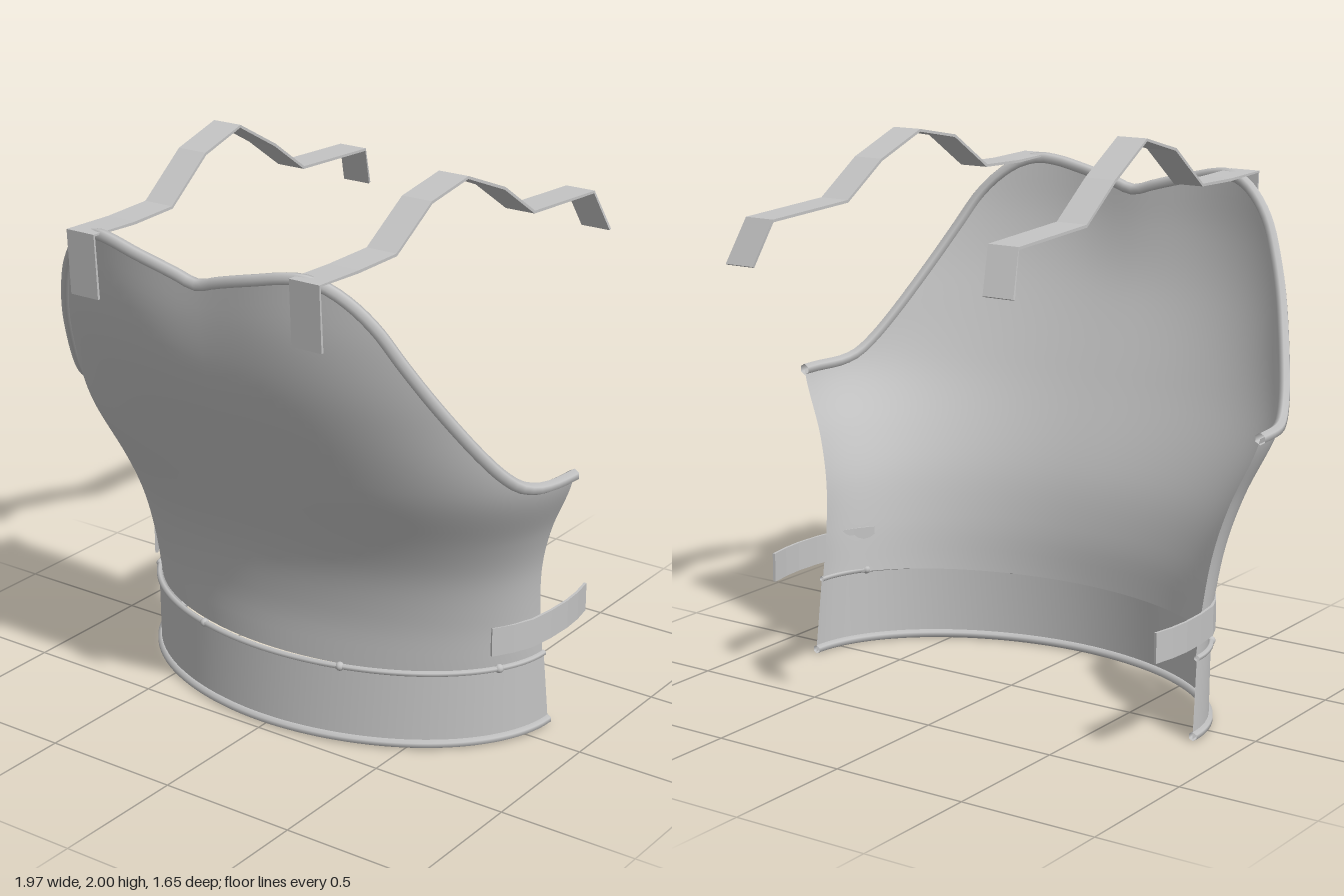
import * as THREE from 'three';

const steel = new THREE.MeshStandardMaterial({ color: 0xc4c4c4, side: THREE.DoubleSide });
steel.name = 'steel grey';

// Smooth lookup in a table of [position, value] pairs
function sample(table, p) {
  const last = table.length - 1;
  let i = 0;
  while (i < last - 1 && p > table[i + 1][0]) i++;
  const slope = k => {
    const a = table[Math.max(k - 1, 0)], b = table[Math.min(k + 1, last)];
    return (b[1] - a[1]) / (b[0] - a[0]);
  };
  const [p0, v0] = table[i], [p1, v1] = table[i + 1];
  const h = p1 - p0, t = THREE.MathUtils.clamp((p - p0) / h, 0, 1), t2 = t * t, t3 = t2 * t;
  return v0 * (2 * t3 - 3 * t2 + 1) + v1 * (3 * t2 - 2 * t3)
    + h * (slope(i) * (t3 - 2 * t2 + t) + slope(i + 1) * (t3 - t2));
}

// Body profile by height: half width, front depth, back edge depth, squareness
const halfWidth = [[0.28, 0.8], [0.46, 0.805], [0.64, 0.825], [0.8, 0.87], [1.04, 0.967], [1.3, 0.97], [1.8, 0.97]];
const frontZ = [[0.28, 0.415], [0.47, 0.42], [0.69, 0.465], [1.03, 0.61], [1.35, 0.74], [1.57, 0.795], [1.8, 0.815]];
const backZ = [[0.28, -0.09], [0.46, -0.058], [0.64, -0.028], [1.04, 0.045], [1.8, 0.045]];
const square = [[0.28, 1.95], [1.04, 2.35], [1.8, 2.5]];
// Height of the upper edge by angle from the centre line, in degrees
const rimY = [[0, 1.70], [12.5, 1.755], [24.4, 1.79], [31.7, 1.755], [39.7, 1.65], [47.1, 1.48],
  [55.6, 1.29], [63.8, 1.13], [72.4, 1.05], [90, 1.035]];

const SHIFT = -0.013; // the waist sits slightly to one side

function section(deg, y, a, front, back, n) {
  const s = Math.sin(deg * Math.PI / 180);
  const depth = Math.pow(Math.max(0, 1 - Math.pow(Math.abs(s), n)), 1 / n);
  return new THREE.Vector3(a * s, y, back + (front - back) * depth);
}

function bodyPoint(deg, y) {
  const p = section(deg, y, sample(halfWidth, y), sample(frontZ, y), sample(backZ, y), sample(square, y));
  p.z -= 0.02 * Math.exp(-((p.x / 0.2) ** 2)) * THREE.MathUtils.smoothstep(y, 1.3, 1.75);
  p.x += SHIFT * (1 - THREE.MathUtils.smoothstep(y, 0.6, 1));
  return p;
}

function bandPoint(deg, y) {
  const t = y / 0.285;
  const p = section(deg, y, 0.812 - 0.007 * t, 0.458 - 0.01 * t, -0.122 + 0.032 * t, 1.95);
  p.x += SHIFT;
  return p;
}

// Smooth sheet from a point rule; u and v run 0..1
function sheet(rule, nu, nv) {
  const geo = new THREE.PlaneGeometry(1, 1, nu, nv);
  const pos = geo.attributes.position, uv = geo.attributes.uv;
  for (let i = 0; i < pos.count; i++) {
    const p = rule(uv.getX(i), uv.getY(i));
    pos.setXYZ(i, p.x, p.y, p.z);
  }
  geo.computeVertexNormals();
  return geo;
}

// Flat strip with sharp edges that follows a list of points
function strap(points, across, width, thick) {
  const pos = [], index = [], n = points.length;
  points.forEach((p, i) => {
    const tangent = points[Math.min(i + 1, n - 1)].clone().sub(points[Math.max(i - 1, 0)]);
    const out = tangent.cross(across).normalize().multiplyScalar(thick / 2);
    for (const [w, o] of [[-1, -1], [1, -1], [1, 1], [-1, 1]]) {
      const c = p.clone().addScaledVector(across, w * width / 2).addScaledVector(out, o);
      pos.push(c.x, c.y, c.z);
    }
    if (i === 0) return;
    for (let k = 0; k < 4; k++) {
      const a = (i - 1) * 4 + k, b = (i - 1) * 4 + (k + 1) % 4;
      index.push(a, a + 4, b, b, a + 4, b + 4);
    }
  });
  const e = (n - 1) * 4;
  index.push(0, 1, 2, 0, 2, 3, e, e + 2, e + 1, e, e + 3, e + 2);
  const geo = new THREE.BufferGeometry();
  geo.setAttribute('position', new THREE.Float32BufferAttribute(pos, 3));
  geo.setIndex(index);
  const flat = geo.toNonIndexed();
  flat.computeVertexNormals();
  return flat;
}

// Rolled edge along a rule of angle
function bead(rule, radius, sides) {
  const pts = [];
  for (let d = -90; d <= 90; d += 5) pts.push(rule(d));
  return new THREE.TubeGeometry(new THREE.CatmullRomCurve3(pts), 96, radius, sides);
}

export function createModel() {
  const group = new THREE.Group();
  const add = (name, geo) => {
    const mesh = new THREE.Mesh(geo, steel);
    mesh.name = name;
    group.add(mesh);
    return mesh;
  };
  const V = (x, y, z) => new THREE.Vector3(x, y, z);

  // Chest shell and its rolled upper edge
  const edgeY = deg => sample(rimY, Math.abs(deg));
  add('chestShell', sheet((u, v) => {
    const deg = (u - 0.5) * 180;
    return bodyPoint(deg, THREE.MathUtils.lerp(0.28, edgeY(deg), v));
  }, 72, 36));
  add('upperRim', bead(deg => bodyPoint(deg, edgeY(deg)), 0.021, 6));

  // Waist band with a bead above and below
  add('waistBand', sheet((u, v) => bandPoint((u - 0.5) * 180, 0.01 + 0.275 * v), 64, 1));
  add('waistBeadTop', bead(deg => bandPoint(deg, 0.285), 0.011, 6));
  add('waistBeadBottom', bead(deg => bandPoint(deg, 0.018), 0.016, 6));

  // Rivets on the upper bead
  for (const deg of [-68, -21.5, 21.5, 68]) {
    const rivet = add('rivet', new THREE.SphereGeometry(0.016, 10, 8));
    rivet.position.copy(bandPoint(deg, 0.285));
  }

  for (const side of [-1, 1]) {
    // Shoulder strap: the right one arches a little higher
    const lift = side < 0 ? 0.03 : 0;
    const path = [
      [0.45, 1.58, 0.81], [0.45, 1.80, 0.822], [0.45, 1.793, 0.62], [0.455, 1.798, 0.42],
      [0.46, 1.925 + lift / 2, 0.23], [0.467, 1.963 + lift, 0.03], [0.477, 1.88, -0.18],
      [0.485, 1.757, -0.36], [0.49, 1.738, -0.75], [0.52, 1.59, -0.82],
    ];
    add(side < 0 ? 'rightShoulderStrap' : 'leftShoulderStrap',
      strap(path.map(([x, y, z]) => V(side * x, y, z)), V(1, 0, 0), 0.115, 0.01));

    // Side strap curving back from the waist
    const wrap = [[0.735, 0.14], [0.778, 0.07], [0.808, 0], [0.822, -0.1], [0.826, -0.2], [0.82, -0.28], [0.805, -0.36]];
    add(side < 0 ? 'rightSideStrap' : 'leftSideStrap',
      strap(wrap.map(([x, z]) => V(side * x + SHIFT, 0.395, z)), V(0, 1, 0), 0.105, 0.01));
  }
  return group;
}
